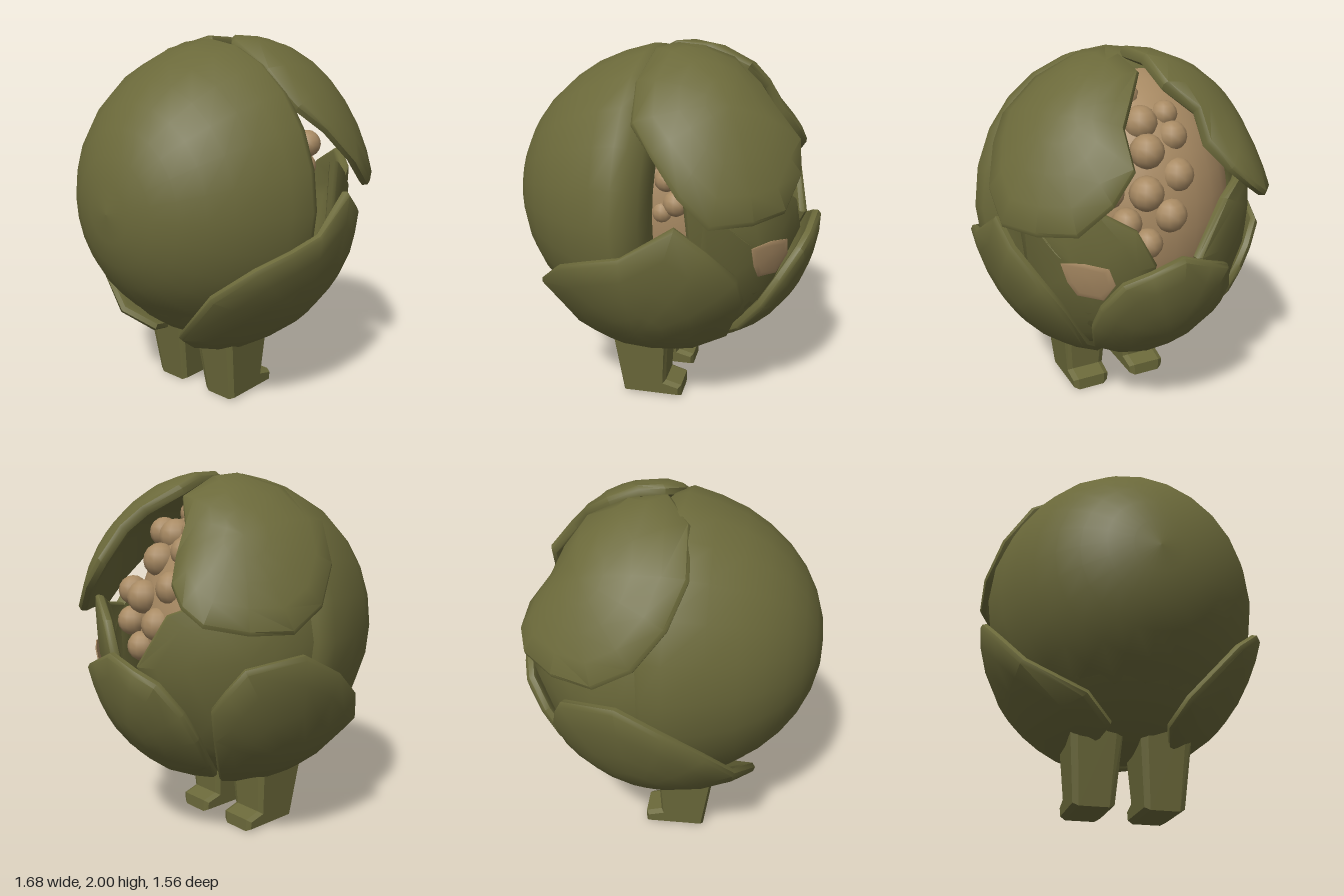
import * as THREE from 'three';
import { toCreasedNormals } from 'three/addons/utils/BufferGeometryUtils.js';

const C = new THREE.Vector3(0, 1.14, 0);      // body centre
const R = new THREE.Vector3(0.82, 0.85, 0.75); // body radii

export function createModel() {
  const model = new THREE.Group();
  const olive = new THREE.MeshStandardMaterial({ color: 0x6b693a, side: THREE.DoubleSide });
  olive.name = 'olive leaf';
  const tan = new THREE.MeshStandardMaterial({ color: 0xa88a63 });
  tan.name = 'tan core';

  const add = (name, geometry, material, parent = model) => {
    const mesh = new THREE.Mesh(geometry, material);
    mesh.name = name;
    parent.add(mesh);
    return mesh;
  };

  // Curved plate: rings grow from its centre to a closed outline, over the rim and back inside.
  const plate = (name, outline, bulge, thick, material, fixedRadius) => {
    const pts = outline.map(p => new THREE.Vector3(...p).sub(C).divide(R));
    const mid = pts.reduce((s, p) => s.add(p), new THREE.Vector3()).normalize();
    const area = new THREE.Vector3();
    pts.forEach((p, i) => area.add(p.clone().cross(pts[(i + 1) % pts.length])));
    if (area.dot(mid) < 0) pts.reverse();
    const n = pts.length;
    const rings = [[0, 0], [0.25, 0], [0.5, 0], [0.75, 0], [0.96, 0], [1, -0.25 * thick],
      [1, -0.75 * thick], [0.95, -thick], [0.5, -thick], [0, -thick]];
    const at = ([t, dr], i) => {
      const p = pts[i % n];
      const edge = fixedRadius || p.length();
      const r = bulge + (edge - bulge) * t * t + dr;
      return p.clone().normalize().lerp(mid, 1 - t).normalize().multiplyScalar(r).multiply(R).add(C);
    };
    const tri = [];
    for (let k = 0; k < rings.length - 1; k++) {
      for (let i = 0; i < n; i++) {
        const a = at(rings[k], i), b = at(rings[k + 1], i);
        const c = at(rings[k + 1], i + 1), d = at(rings[k], i + 1);
        if (rings[k + 1][0] > 0) tri.push(a, b, c);
        if (rings[k][0] > 0) tri.push(a, c, d);
      }
    }
    const g = new THREE.BufferGeometry().setFromPoints(tri);
    return add(name, toCreasedNormals(g, 0.8), material);
  };

  // Large rounded back shell, turned about the x axis and curling in at its open edge
  const profile = [[0.56, 0.0], [0.78, -0.04], [0.88, -0.01], [0.96, 0.05], [0.99, 0.12]];
  for (let i = 1; i <= 8; i++) {
    const a = 0.13 + (Math.PI / 2 - 0.13) * i / 8;
    profile.push([Math.max(Math.cos(a) * (1 - 0.03 * Math.sin(2 * a)), 0.0001), 0.84 * Math.sin(a)]);
  }
  const shell = new THREE.LatheGeometry(profile.map(p => new THREE.Vector2(...p)), 24);
  shell.rotateZ(Math.PI / 2).scale(1, 0.83, 0.76).translate(0, 1.165, 0);
  const sp = shell.attributes.position;
  for (let i = 0; i < sp.count; i++) {  // the open edge reaches further forward on the back side
    const x = sp.getX(i);
    sp.setX(i, x + Math.max(0, 1 + x / 0.3) * (0.055 - 0.13 * sp.getZ(i)));
  }
  add('backShell', shell, olive);

  // Closed underside bowl behind the lower leaves
  const bowl = new THREE.SphereGeometry(1, 28, 8, 0, Math.PI * 2, 2.05, Math.PI - 2.05);
  bowl.scale(0.77, 0.83, 0.7).translate(C.x, C.y, C.z);
  add('undersideBowl', bowl, olive);

  // Core and the round seeds on it
  const core = new THREE.SphereGeometry(1, 28, 18);
  core.scale(0.59, 0.75, 0.56).translate(0, C.y, -0.09);
  add('core', core, tan);
  const seeds = new THREE.Group();
  seeds.name = 'seeds';
  model.add(seeds);
  [ // x, y, z, radius: open side, then the gap beside the shell
    [0.23, 1.78, 0.04, 0.075], [0.37, 1.67, 0.02, 0.09], [0.33, 1.68, 0.17, 0.08],
    [0.36, 1.7, -0.12, 0.07], [0.47, 1.55, 0.03, 0.09], [0.43, 1.6, -0.13, 0.08], [0.49, 1.37, 0.25, 0.08],
    [0.55, 1.36, 0.07, 0.09], [0.51, 1.42, -0.12, 0.09], [0.55, 1.22, 0.18, 0.08], [0.56, 1.23, -0.06, 0.09],
    [0.57, 1.1, 0.07, 0.08],
    [0.04, 1.53, 0.38, 0.07], [0.14, 1.45, 0.39, 0.07], [0.07, 1.36, 0.42, 0.065], [0.12, 1.24, 0.43, 0.07],
    [0.05, 1.19, 0.43, 0.06]
  ].forEach(([x, y, z, r]) => add('seed', new THREE.SphereGeometry(r, 12, 8), tan, seeds).position.set(x, y, z));

  // Upper leaves
  plate('upperFrontLeaf', [[-0.06, 1.98, 0.14], [0.04, 2, 0.05], [0.18, 1.99, 0.04], [0.34, 1.93, 0.01],
    [0.5, 1.82, 0.13], [0.59, 1.72, 0.21], [0.73, 1.55, 0.22], [0.75, 1.4, 0.34], [0.69, 1.25, 0.5],
    [0.55, 1.23, 0.66], [0.35, 1.23, 0.77], [0.2, 1.38, 0.78], [0.05, 1.56, 0.7], [-0.07, 1.68, 0.6],
    [-0.1, 1.85, 0.4]], 1.07, 0.08, olive);
  plate('upperBackLeaf', [[0, 1.99, -0.05], [0.2, 1.98, -0.08], [0.42, 1.88, -0.09], [0.52, 1.76, -0.23],
    [0.6, 1.6, -0.25], [0.7, 1.48, -0.34], [0.73, 1.38, -0.45], [0.69, 1.3, -0.56], [0.52, 1.26, -0.7],
    [0.3, 1.25, -0.78], [0.1, 1.36, -0.78], [-0.06, 1.55, -0.7], [-0.15, 1.75, -0.55], [-0.13, 1.92, -0.27]],
  1.07, 0.08, olive);

  // Lower leaves
  plate('lowerFrontLeaf', [[0.18, 1.22, 0.75], [-0.1, 1.04, 0.78], [-0.3, 0.99, 0.75], [-0.47, 0.92, 0.66],
    [-0.62, 0.77, 0.49], [-0.57, 0.47, 0.22], [-0.42, 0.36, 0.16], [-0.24, 0.3, 0.22], [0, 0.28, 0.14],
    [0.26, 0.33, 0.19], [0.4, 0.47, 0.34], [0.5, 0.75, 0.5], [0.48, 0.92, 0.61], [0.33, 1.1, 0.72]],
  1.06, 0.07, olive);
  plate('lowerBackLeaf', [[0.2, 1.13, -0.77], [-0.05, 1, -0.78], [-0.26, 0.84, -0.72], [-0.41, 0.66, -0.6],
    [-0.52, 0.47, -0.29], [-0.4, 0.36, -0.14], [-0.22, 0.31, -0.18], [0, 0.28, -0.1], [0.26, 0.33, -0.19],
    [0.42, 0.49, -0.35], [0.54, 0.7, -0.46], [0.59, 0.86, -0.5], [0.56, 0.96, -0.57], [0.5, 1.08, -0.65]],
  1.06, 0.07, olive);
  const half = [[0.81, 1.04, 0.17], [0.77, 0.99, 0.3], [0.67, 0.83, 0.38], [0.58, 0.68, 0.39],
    [0.44, 0.49, 0.32], [0.27, 0.35, 0.18]];
  plate('lowerSideLeaf', [[0.84, 1.11, 0], ...half, [0.14, 0.29, 0],
    ...half.map(([x, y, z]) => [x, y, -z]).reverse()], 1.05, 0.07, olive);

  // Inner leaves between the lower ones, with a bare patch on the front one
  plate('innerFrontLeaf', [[0.2, 1.37, 0.65], [0.36, 1.25, 0.6], [0.52, 1.28, 0.52], [0.65, 1.35, 0.38],
    [0.72, 1.24, 0.2], [0.74, 1.05, 0.1], [0.5, 0.5, 0.12], [0.3, 0.45, 0.36], [0.25, 0.8, 0.6]],
  0.94, 0.07, olive);
  plate('innerBackLeaf', [[0.7, 1.33, -0.3], [0.61, 1.39, -0.43], [0.5, 1.42, -0.53], [0.2, 1.48, -0.63],
    [-0.05, 1.5, -0.64], [-0.1, 1.2, -0.7], [-0.05, 0.8, -0.64], [0.2, 0.47, -0.4], [0.53, 0.55, -0.2],
    [0.76, 1.05, -0.12]], 0.98, 0.07, olive);
  plate('barePatch', [[0.53, 1.06, 0.53], [0.6, 1.08, 0.43], [0.67, 1.06, 0.33], [0.68, 0.97, 0.3],
    [0.63, 0.87, 0.34], [0.54, 0.89, 0.44], [0.53, 0.96, 0.49]], 0.96, 0.009, tan, 0.96);

  // Short legs with a toe, wider at the top
  const side = new THREE.Shape([[-0.29, 0.48], [-0.22, 0.005], [0.12, 0.005], [0.12, 0.075],
    [0.03, 0.1], [0.05, 0.48]].map(p => new THREE.Vector2(...p)));
  const leg = new THREE.ExtrudeGeometry(side, { depth: 0.155, bevelEnabled: true, bevelSegments: 1,
    bevelThickness: 0.028, bevelSize: 0.015, bevelOffset: -0.015 });
  leg.translate(0, 0, -0.0775);
  const pos = leg.attributes.position;
  for (let i = 0; i < pos.count; i++) pos.setZ(i, pos.getZ(i) * (1 + 0.8 * pos.getY(i)));
  leg.computeVertexNormals();
  for (const z of [0.19, -0.178]) add(z > 0 ? 'frontLeg' : 'backLeg', leg, olive).position.z = z;

  return model;
}
